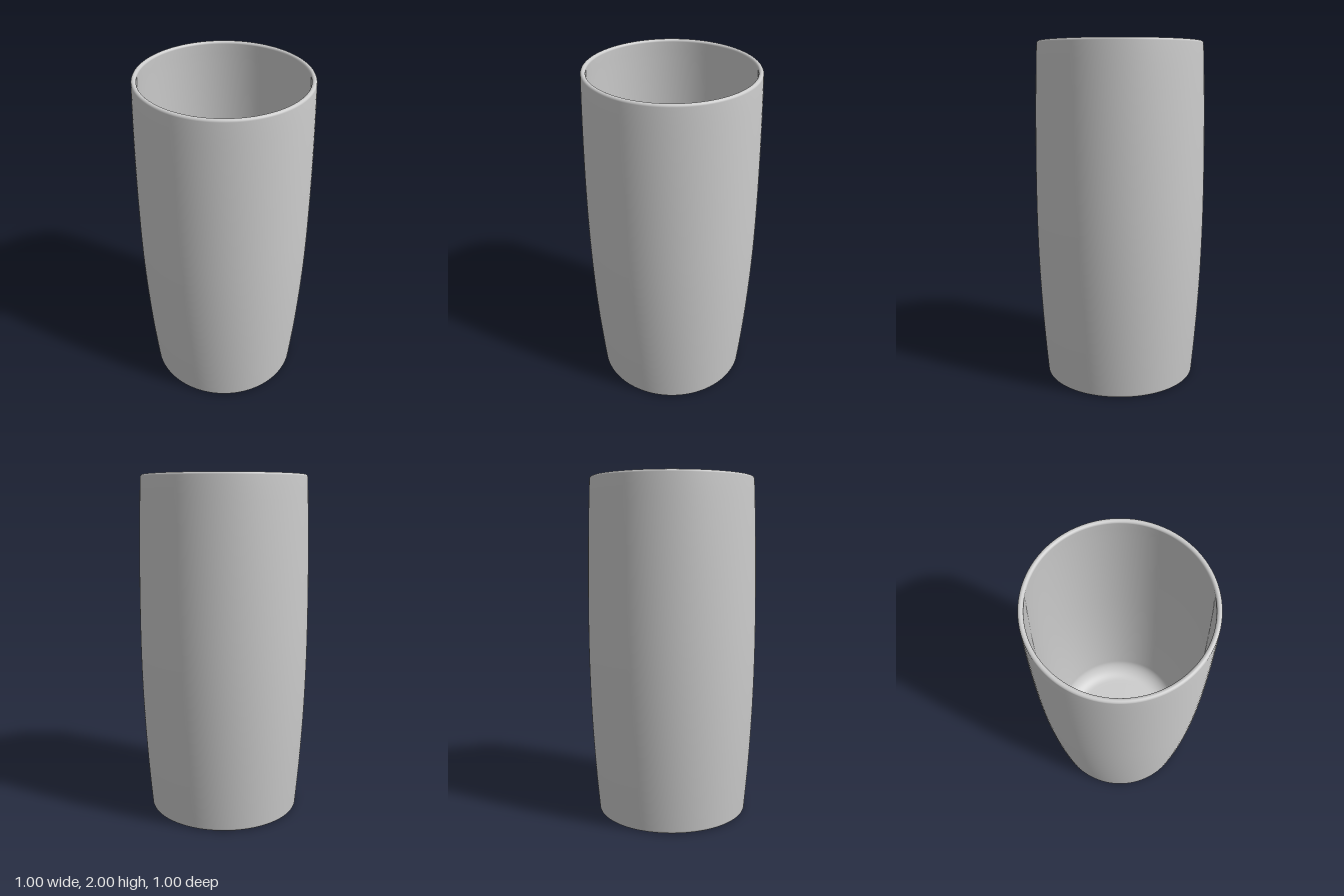
import * as THREE from 'three';

// Barrel-shaped wall: widest at y = 1.1, tighter at the foot than at the rim
const outerRadius = (y) => {
  const t = y < 1.1 ? (1.1 - y) / 1.1 : (y - 1.1) / 0.9;
  return 0.5 - (y < 1.1 ? 0.052 : 0.02) * t * t;
};
const WALL = 0.027;

export function createModel() {
  const group = new THREE.Group();
  group.name = 'tumbler';
  const points = [];
  const add = (r, y) => points.push(new THREE.Vector2(r, y));
  const arc = (cx, cy, rx, ry, from, to, steps) => {
    for (let i = 0; i <= steps; i++) {
      const a = from + ((to - from) * i) / steps;
      add(cx + rx * Math.cos(a), cy + ry * Math.sin(a));
    }
  };

  // Flat underside and softened foot edge
  add(0, 0);
  add(0.43, 0);
  arc(outerRadius(0.015) - 0.015, 0.015, 0.015, 0.015, -Math.PI / 2, 0, 6);

  // Outside wall
  for (let i = 1; i < 32; i++) {
    const y = 0.015 + (1.972 * i) / 32;
    add(outerRadius(y), y);
  }

  // Rounded rim
  const rim = WALL / 2;
  arc(outerRadius(2) - rim, 2 - rim, rim, rim, 0, Math.PI, 10);

  // Inside wall
  for (let i = 1; i < 32; i++) {
    const y = 1.987 - (1.787 * i) / 32;
    add(outerRadius(y) - WALL, y);
  }

  // Curve into the flat inner floor
  const wallFoot = outerRadius(0.19) - WALL;
  arc(0.325, 0.19, wallFoot - 0.325, 0.12, 0, -Math.PI / 2, 12);
  add(0.3, 0.07);
  add(0, 0.07);

  const cup = new THREE.Mesh(
    new THREE.LatheGeometry(points, 128),
    new THREE.MeshStandardMaterial({ color: 0xcccccc })
  );
  cup.name = 'cupBody';
  group.add(cup);
  return group;
}
